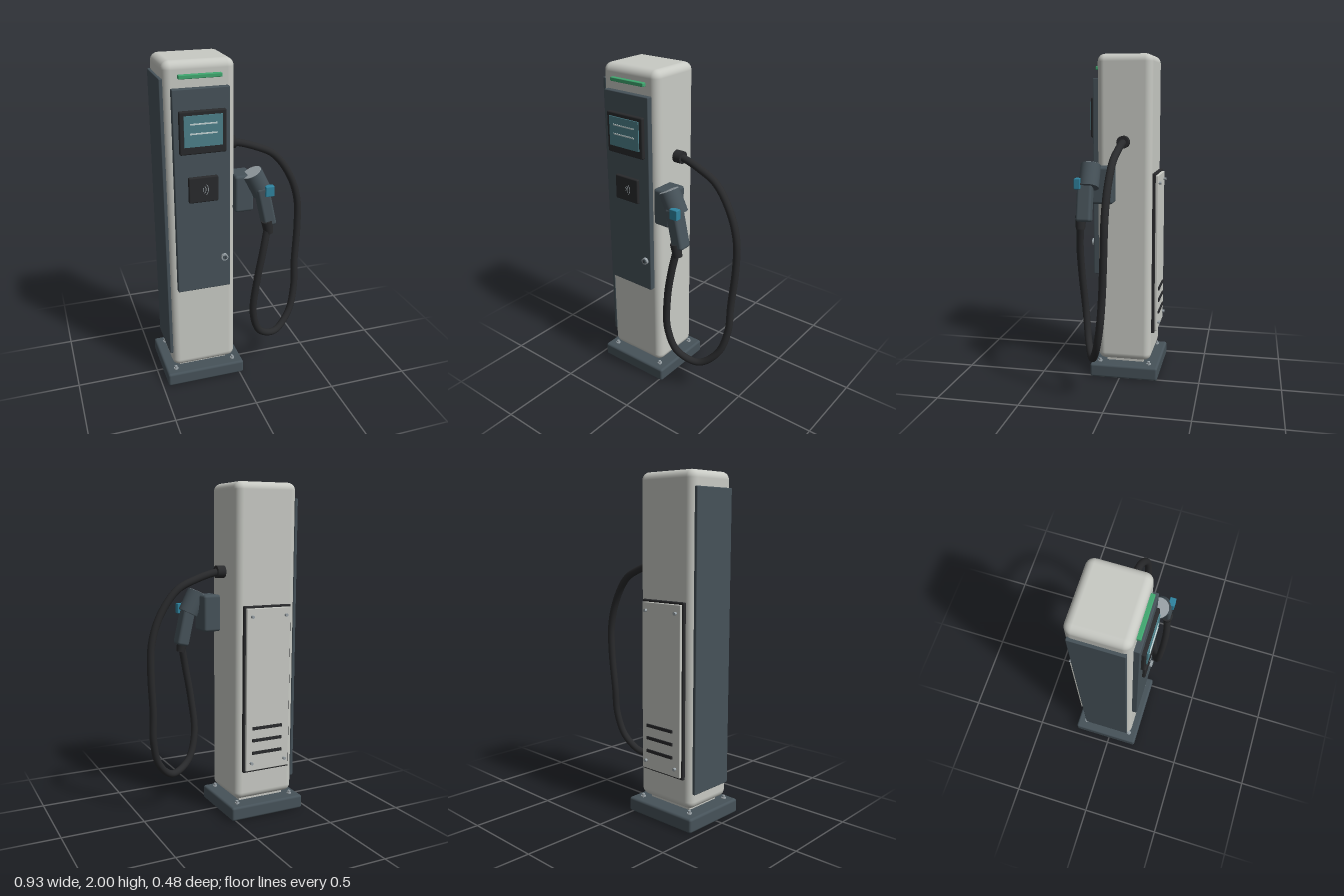
import * as THREE from 'three';
import { RoundedBoxGeometry } from 'three/addons/geometries/RoundedBoxGeometry.js';

const paint = (color) => new THREE.MeshStandardMaterial({ color });
const shell = paint(0xc8cac4), slate = paint(0x465259), black = paint(0x292a2c), teal = paint(0x2f839f);
const glass = paint(0x4c808a), green = paint(0x40a870), steel = paint(0x9aa3a8), pale = paint(0xc5d5d6);

export function createModel() {
  const model = new THREE.Group();
  model.name = 'chargingStation';

  const add = (name, geometry, material, parent = model) => {
    const mesh = new THREE.Mesh(geometry, material);
    mesh.name = name;
    parent.add(mesh);
    return mesh;
  };
  // Box given by its limits on each axis, with optional rounded edges
  const box = (name, [x0, x1], [y0, y1], [z0, z1], material, radius = 0, parent = model) => {
    const size = [x1 - x0, y1 - y0, z1 - z0];
    const geometry = radius ? new RoundedBoxGeometry(...size, 4, radius) : new THREE.BoxGeometry(...size);
    const mesh = add(name, geometry, material, parent);
    mesh.position.set((x0 + x1) / 2, (y0 + y1) / 2, (z0 + z1) / 2);
    return mesh;
  };
  const rod = (name, rTop, rBottom, length, position, material, parent = model, sides = 32) => {
    const mesh = add(name, new THREE.CylinderGeometry(rTop, rBottom, length, sides), material, parent);
    mesh.position.set(...position);
    return mesh;
  };

  // Base, neck and cabinet
  box('base', [-0.465, 0.025], [0, 0.085], [-0.24, 0.188], slate, 0.014);
  box('neck', [-0.37, -0.07], [0.08, 0.115], [-0.14, 0.095], shell);
  box('cabinet', [-0.42, -0.02], [0.105, 2], [-0.19, 0.145], shell, 0.045);
  for (const x of [-0.405, -0.035]) {
    for (const z of [-0.18, 0.133]) {
      rod('baseWasher', 0.014, 0.014, 0.008, [x, 0.088, z], steel);
      rod('baseBolt', 0.009, 0.009, 0.02, [x, 0.095, z], steel, model, 6);
    }
  }

  // Side panel, front panel and status light
  box('sidePanel', [-0.436, -0.415], [0.2, 1.91], [-0.17, 0.125], slate, 0.005);
  box('frontPanel', [-0.38, -0.06], [0.655, 1.86], [0.14, 0.177], slate, 0.005);
  box('statusLight', [-0.34, -0.1], [1.909, 1.931], [0.14, 0.168], green, 0.004);

  // Display
  box('displayBezel', [-0.35, -0.087], [1.505, 1.745], [0.17, 0.197], black, 0.008);
  box('displayScreen', [-0.326, -0.11], [1.55, 1.722], [0.19, 0.204], glass);
  for (const y of [1.676, 1.623]) {
    box('displayLine', [-0.294, -0.142], [y - 0.004, y + 0.004], [0.2, 0.207], pale);
  }

  // Card reader with wave marks
  box('cardReader', [-0.305, -0.135], [1.22, 1.37], [0.17, 0.195], black, 0.007);
  for (const radius of [0.016, 0.03, 0.044]) {
    const wave = add('readerWave', new THREE.TorusGeometry(radius, 0.0022, 6, 16, 1.5), steel);
    wave.position.set(-0.238, 1.295, 0.195);
    wave.rotation.z = -0.75;
  }

  // Door lock
  rod('lockRing', 0.021, 0.021, 0.02, [-0.098, 0.852, 0.182], steel).rotation.x = Math.PI / 2;
  rod('lockCore', 0.013, 0.013, 0.02, [-0.098, 0.852, 0.185], slate).rotation.x = Math.PI / 2;
  box('lockSlot', [-0.1, -0.096], [0.844, 0.86], [0.19, 0.197], black);

  // Rear service hatch
  box('hatchGasket', [-0.377, -0.062], [0.283, 1.293], [-0.208, -0.185], black, 0.005);
  box('hatch', [-0.366, -0.073], [0.296, 1.28], [-0.223, -0.2], shell, 0.004);
  for (const y of [0.56, 0.485, 0.407]) {
    box('hatchVent', [-0.313, -0.113], [y - 0.009, y + 0.009], [-0.231, -0.215], black);
  }
  for (const x of [-0.333, -0.106]) {
    for (const y of [0.345, 1.232]) {
      rod('hatchScrew', 0.009, 0.009, 0.022, [x, y, -0.228], steel).rotation.x = Math.PI / 2;
    }
  }

  // Cable outlet and hanging cable
  rod('cableOutlet', 0.037, 0.037, 0.06, [0.001, 1.485, -0.022], black).rotation.z = Math.PI / 2;
  const path = [
    [0, 1.485, -0.022], [0.05, 1.478, -0.022], [0.15, 1.447, -0.018], [0.275, 1.385, -0.012],
    [0.38, 1.24, -0.004], [0.432, 1.08, 0], [0.438, 0.9, 0.005], [0.423, 0.65, 0.018], [0.42, 0.48, 0.032],
    [0.375, 0.32, 0.065], [0.265, 0.225, 0.115], [0.14, 0.28, 0.165], [0.083, 0.44, 0.193],
    [0.098, 0.68, 0.213], [0.13, 0.865, 0.216], [0.157, 1.0, 0.206],
  ].map((p) => new THREE.Vector3(...p));
  add('cable', new THREE.TubeGeometry(new THREE.CatmullRomCurve3(path), 160, 0.022, 16), black);

  // Holster on the cabinet side
  box('holster', [-0.03, 0.083], [1.12, 1.342], [0.028, 0.177], slate, 0.016);

  // Plug: tilted head, grip, trigger and cable boot
  const plug = new THREE.Group();
  plug.name = 'plug';
  model.add(plug);
  const head = new THREE.Group();
  head.name = 'plugHead';
  head.position.set(0.072, 1.352, 0.16);
  head.rotation.z = 0.47;
  plug.add(head);
  rod('headBarrel', 0.061, 0.061, 0.14, [0, -0.07, 0], slate, head);
  rod('headFace', 0.058, 0.058, 0.004, [0, 0, 0], steel, head);
  const grip = box('grip', [0.111, 0.187], [1.025, 1.275], [0.135, 0.224], slate, 0.016, plug);
  grip.rotation.z = 0.22;
  box('trigger', [0.133, 0.186], [1.22, 1.283], [0.2, 0.237], teal, 0.005, plug);
  rod('cableBoot', 0.034, 0.027, 0.08, [0.161, 1.02, 0.203], black, plug).rotation.z = 0.18;

  return model;
}
